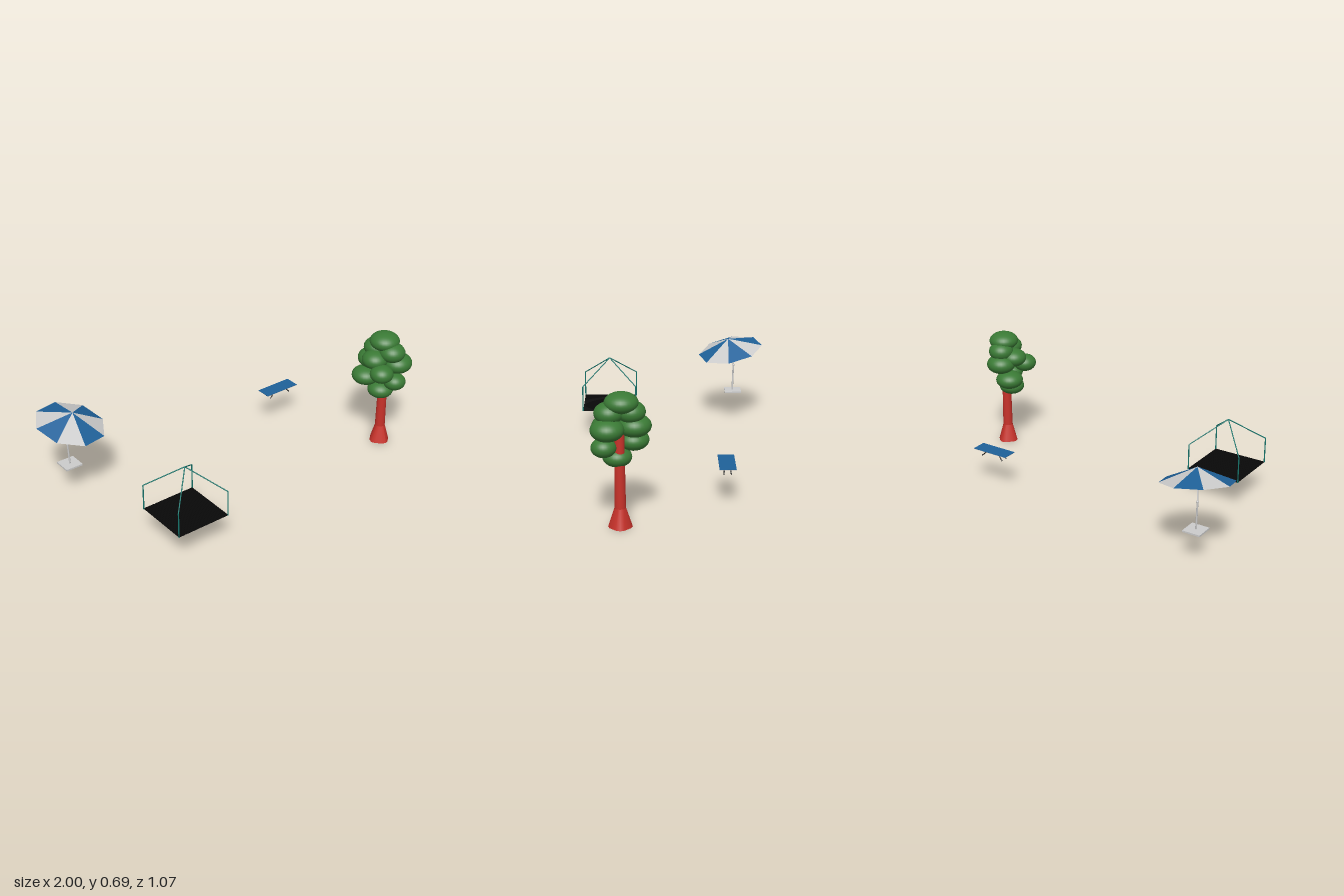
import * as THREE from 'three';

const mat = (color, extra = {}) => new THREE.MeshStandardMaterial({ color, ...extra });
const V = (x, y, z) => new THREE.Vector3(x, y, z);
const UP = V(0, 1, 0);

function add(parent, name, geometry, material, x = 0, y = 0, z = 0) {
  const mesh = new THREE.Mesh(geometry, material);
  mesh.name = name;
  mesh.position.set(x, y, z);
  parent.add(mesh);
  return mesh;
}

// Straight round bar between two points
function rod(parent, name, a, b, r, material, r2 = r) {
  const dir = b.clone().sub(a);
  const mesh = add(parent, name, new THREE.CylinderGeometry(r2, r, dir.length(), 8), material);
  mesh.position.copy(a).add(b).multiplyScalar(0.5);
  mesh.quaternion.setFromUnitVectors(UP, dir.normalize());
  return mesh;
}

function createParasol() {
  const g = new THREE.Group();
  g.name = 'parasol';
  const grey = mat(0xcccccc);
  const panels = [0x1f6199, 0xcccccc].map(c => mat(c, { flatShading: true, side: THREE.DoubleSide }));

  // Tilted canopy of eight alternating panels
  const canopy = new THREE.Group();
  canopy.name = 'canopy';
  canopy.position.set(-0.81, 0.432, -0.348);
  canopy.quaternion.setFromUnitVectors(UP, V(0.145, 0.969, 0.198).normalize());
  const h = 0.075, step = Math.PI / 4;
  for (let k = 0; k < 8; k++) {
    const start = -0.12 + k * step;
    const panel = new THREE.ConeGeometry(0.195, h, 1, 1, true, start, step);
    add(canopy, 'canopyPanel', panel, panels[k % 2], 0, h / 2, 0);
  }
  g.add(canopy);

  // Base plate, lower pole, tilt joint, upper pole
  add(g, 'base', new THREE.BoxGeometry(0.1, 0.009, 0.1), grey, -0.82, 0.173, -0.366);
  const foot = V(-0.82, 0.175, -0.364), joint = V(-0.826, 0.333, -0.369), tip = V(-0.8, 0.503, -0.335);
  rod(g, 'lowerPole', foot, joint, 0.005, grey);
  rod(g, 'upperPole', joint, tip, 0.004, grey);
  add(g, 'tiltJoint', new THREE.SphereGeometry(0.007, 10, 8), grey).position.copy(joint);
  return g;
}

function createPavilion() {
  const g = new THREE.Group();
  g.name = 'pavilion';
  const teal = mat(0x17776e), black = mat(0x080808);
  const cx = -0.585, cz = 0.377, half = 0.154, floorY = 0.172, eaveY = 0.317;
  const peak = V(cx, 0.449, cz);

  // Slatted floor with hairline gaps
  const count = 32, pitch = 2 * half / count;
  for (let i = 0; i < count; i++) {
    add(g, 'floorSlat', new THREE.BoxGeometry(pitch - 0.0012, 0.005, 2 * half), black,
      cx - half + (i + 0.5) * pitch, floorY, cz);
  }

  // Corner posts and the roof bars meeting at the peak
  for (const sx of [-1, 1]) for (const sz of [-1, 1]) {
    const x = cx + sx * half, z = cz + sz * half;
    rod(g, 'post', V(x, floorY - 0.002, z), V(x, eaveY, z), 0.0035, teal);
    rod(g, 'roofBar', V(x, eaveY, z), peak, 0.003, teal);
  }
  return g;
}

function createTable() {
  const g = new THREE.Group();
  g.name = 'table';
  g.position.set(0.548, 0, -0.255);
  const black = mat(0x111111);

  // Thin board with a coloured top
  add(g, 'tableBoard', new THREE.BoxGeometry(0.222, 0.002, 0.086), mat(0xcccccc), 0, 0.21, 0);
  add(g, 'tableTop', new THREE.BoxGeometry(0.222, 0.002, 0.086), mat(0x1f6199), 0, 0.212, 0);

  // Splayed legs, tied in pairs
  for (const sx of [-1, 1]) {
    for (const sz of [-1, 1]) {
      rod(g, 'leg', V(sx * 0.07, 0.171, sz * 0.019), V(sx * 0.032, 0.21, sz * 0.012), 0.003, black);
    }
    rod(g, 'crossbar', V(sx * 0.041, 0.201, -0.014), V(sx * 0.041, 0.201, 0.014), 0.002, black);
  }
  return g;
}

function createTree() {
  const g = new THREE.Group();
  g.name = 'tree';
  const bark = mat(0xc8322a), leaf = mat(0x3a7a35);
  const tx = 0.872, tz = 0.284;

  // Trunk and its flared, lobed root
  add(g, 'trunk', new THREE.CylinderGeometry(0.024, 0.0285, 0.42, 16), bark, tx, 0.3, tz);
  const root = new THREE.CylinderGeometry(0.0285, 0.061, 0.1, 16);
  const p = root.attributes.position;
  for (let i = 0; i < p.count; i++) {
    if (p.getY(i) > 0) continue;
    const lobe = 0.93 + 0.07 * Math.cos(4 * Math.atan2(p.getZ(i), p.getX(i)));
    p.setX(i, p.getX(i) * lobe);
    p.setZ(i, p.getZ(i) * lobe);
  }
  root.computeVertexNormals();
  add(g, 'rootFlare', root, bark, tx, 0.05, tz);

  // Foliage clumps: centre x, y, z, then width and height radius
  const clumps = [
    [0.875, 0.640, 0.273, 0.084, 0.052],
    [0.880, 0.590, 0.333, 0.073, 0.054],
    [0.860, 0.590, 0.227, 0.072, 0.054],
    [0.918, 0.517, 0.341, 0.083, 0.056],
    [0.850, 0.517, 0.210, 0.083, 0.056],
    [0.805, 0.547, 0.275, 0.073, 0.052],
    [0.785, 0.495, 0.355, 0.066, 0.050],
    [0.885, 0.416, 0.360, 0.063, 0.048],
    [0.797, 0.427, 0.218, 0.079, 0.052],
    [0.842, 0.355, 0.296, 0.073, 0.049],
  ];
  const ball = new THREE.SphereGeometry(1, 28, 20);
  for (const [x, y, z, r, ry] of clumps) {
    add(g, 'foliage', ball, leaf, x, y, z).scale.set(r, ry, r);
  }
  return g;
}

export function createModel() {
  const model = new THREE.Group();
  model.name = 'parkSet';
  model.add(createParasol(), createPavilion(), createTable(), createTree());
  return model;
}
